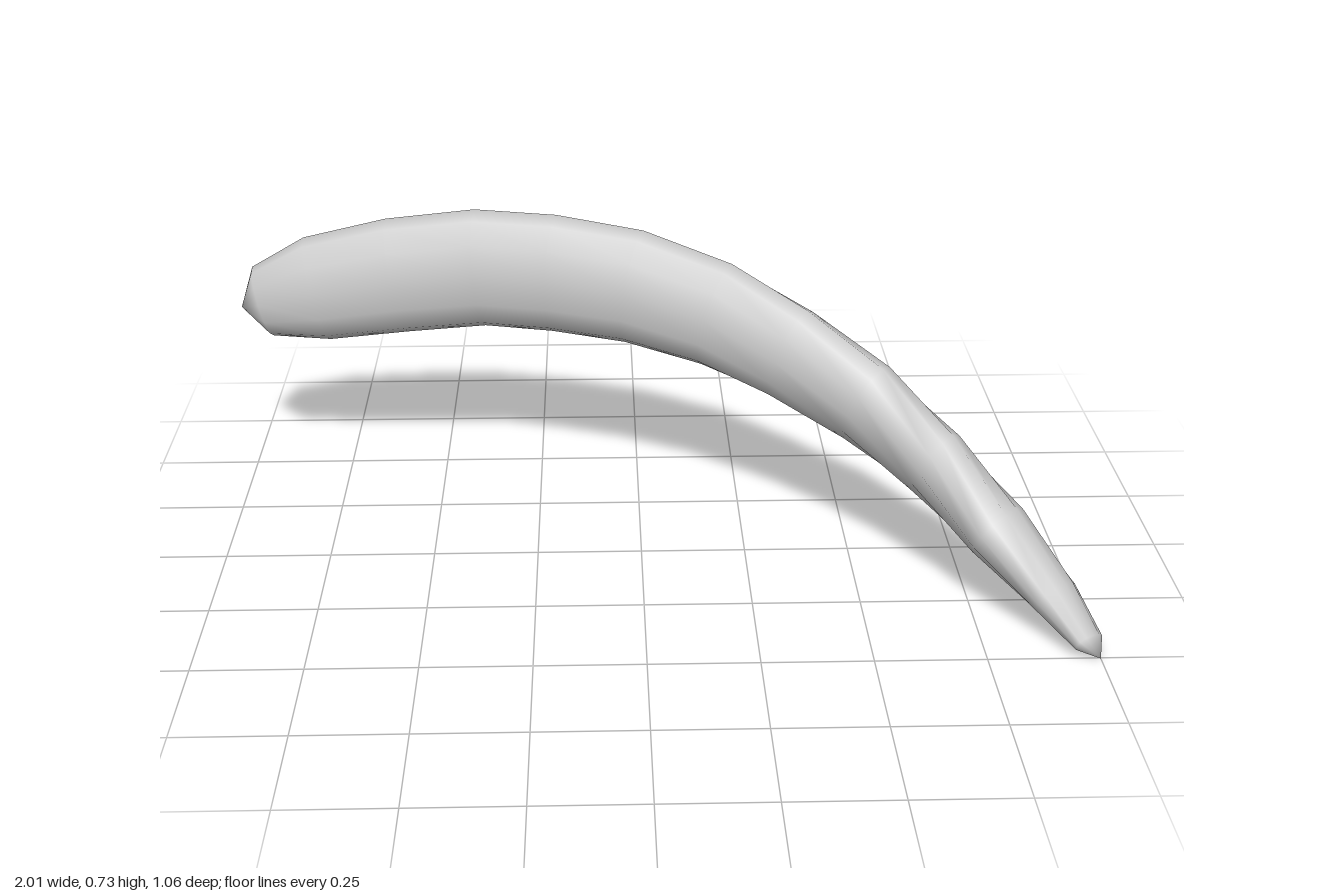
import * as THREE from 'three';

const SIDES = 12;

// Cross-sections along the bow: centre x, y, z, long radius, short radius, twist in degrees
const SECTIONS = [
  [-0.945, 0.47, -0.48, 0.092, 0.05, 8],
  [-0.805, 0.507, -0.47, 0.134, 0.07, 8],
  [-0.6, 0.55, -0.445, 0.147, 0.075, 6],
  [-0.39, 0.58, -0.415, 0.15, 0.078, 4],
  [-0.205, 0.583, -0.365, 0.149, 0.079, 5],
  [-0.01, 0.572, -0.3, 0.143, 0.08, 8],
  [0.185, 0.533, -0.215, 0.132, 0.079, 10],
  [0.355, 0.478, -0.105, 0.12, 0.081, 5],
  [0.525, 0.402, 0.015, 0.108, 0.082, -3],
  [0.67, 0.31, 0.145, 0.1, 0.079, -25],
  [0.8, 0.2, 0.27, 0.09, 0.075, -50],
  [0.915, 0.095, 0.39, 0.077, 0.052, -58],
  [0.975, 0.034, 0.485, 0.048, 0.03, -60],
];
const BLUNT_END = [-1, 0.455, -0.48];
const TIP = [0.998, 0.008, 0.51];

// Closed loft of twisted ellipses, with a pole at each end
function loft(sections, startPole, endPole) {
  const centres = sections.map(([x, y, z]) => new THREE.Vector3(x, y, z));
  const last = sections.length - 1;
  const up = new THREE.Vector3(0, 1, 0);
  const positions = [];
  const index = [];

  sections.forEach(([, , , long, short, twist], i) => {
    const tangent = centres[Math.min(i + 1, last)].clone()
      .sub(centres[Math.max(i - 1, 0)]).normalize();
    const back = up.clone().cross(tangent).normalize();
    const rise = tangent.clone().cross(back);
    const turn = THREE.MathUtils.degToRad(twist);
    const longAxis = rise.clone().multiplyScalar(Math.cos(turn)).addScaledVector(back, Math.sin(turn));
    const shortAxis = back.clone().multiplyScalar(Math.cos(turn)).addScaledVector(rise, -Math.sin(turn));
    for (let j = 0; j < SIDES; j++) {
      const angle = (j / SIDES) * Math.PI * 2;
      const p = centres[i].clone()
        .addScaledVector(longAxis, long * Math.cos(angle))
        .addScaledVector(shortAxis, short * Math.sin(angle));
      positions.push(p.x, p.y, p.z);
    }
  });

  const start = sections.length * SIDES;
  positions.push(...startPole, ...endPole);

  for (let j = 0; j < SIDES; j++) {
    const k = (j + 1) % SIDES;
    for (let i = 0; i < last; i++) {
      const a = i * SIDES, b = a + SIDES;
      index.push(a + j, b + j, a + k, a + k, b + j, b + k);
    }
    index.push(start, j, k);
    index.push(start + 1, last * SIDES + k, last * SIDES + j);
  }

  const geometry = new THREE.BufferGeometry();
  geometry.setAttribute('position', new THREE.Float32BufferAttribute(positions, 3));
  geometry.setIndex(index);
  geometry.computeVertexNormals();
  return geometry;
}

export function createModel() {
  const group = new THREE.Group();
  group.name = 'curvedHorn';

  // Smooth bowed body, blunt at one end and tapering to the ground at the other
  const body = new THREE.Mesh(
    loft(SECTIONS, BLUNT_END, TIP),
    new THREE.MeshStandardMaterial({ color: 0xcccccc })
  );
  body.name = 'hornBody';
  group.add(body);
  return group;
}
